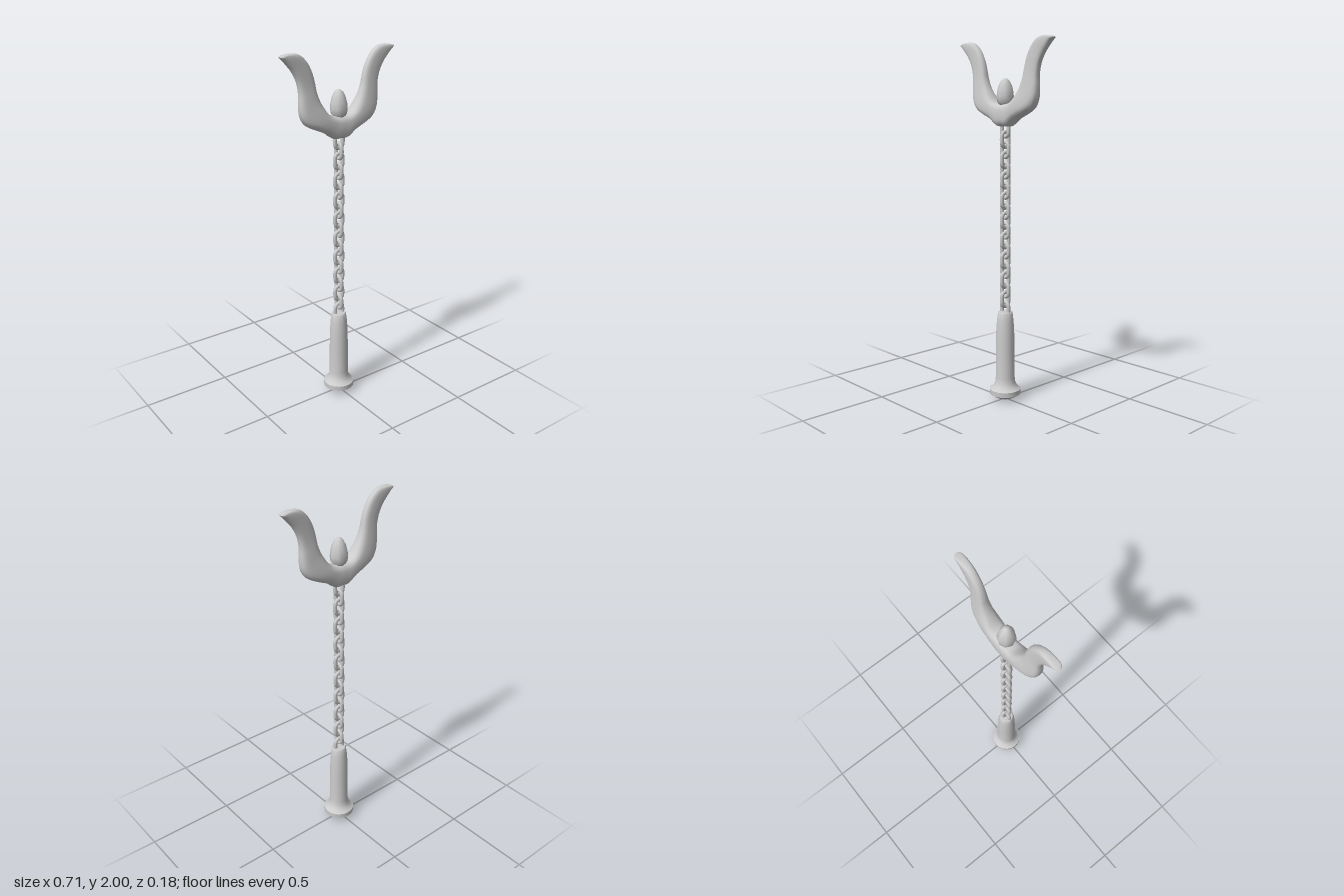
import * as THREE from 'three';
import { toCreasedNormals } from 'three/addons/utils/BufferGeometryUtils.js';

const material = new THREE.MeshStandardMaterial({ color: 0xcccccc });

function add(group, name, geometry) {
  const mesh = new THREE.Mesh(geometry, material);
  mesh.name = name;
  group.add(mesh);
  return mesh;
}

function lathe(points, sides) {
  return new THREE.LatheGeometry(points.map(([r, y]) => new THREE.Vector2(r, y)), sides);
}

// Stations of one fork arm, centre to tip: outer x, y, inner x, y, half depth
const ARM = [
  [0, 1.54, 0, 1.66, 0.05],
  [0.04, 1.54, 0.03, 1.661, 0.05],
  [0.09, 1.575, 0.06, 1.668, 0.051],
  [0.155, 1.603, 0.085, 1.688, 0.05],
  [0.208, 1.632, 0.108, 1.72, 0.045],
  [0.238, 1.68, 0.128, 1.755, 0.038],
  [0.245, 1.74, 0.145, 1.8, 0.032],
  [0.245, 1.8, 0.155, 1.85, 0.027],
  [0.258, 1.86, 0.17, 1.9, 0.025],
  [0.285, 1.91, 0.197, 1.95, 0.024],
  [0.31, 1.94, 0.24, 1.99, 0.024],
  [0.335, 1.968, 0.29, 2.0, 0.023],
  [0.35, 1.982, 0.335, 1.995, 0.019],
  [0.357, 1.988, 0.357, 1.988, 0],
];

// Fork: rounded-box sections swept from the left tip to the right tip
function forkGeometry() {
  const stations = [
    ...ARM.slice(1).reverse(),
    ...ARM.map(([ox, oy, ix, iy, d]) => [-ox, oy, -ix, iy, d]),
  ];
  const curve = (pick) => new THREE.CatmullRomCurve3(
    stations.map((s) => new THREE.Vector3(...pick(s))), false, 'catmullrom', 0.5);
  const outer = curve((s) => [s[0], s[1], s[4]]);
  const inner = curve((s) => [s[2], s[3], s[4]]);
  const rows = (stations.length - 1) * 3, sides = 20;
  const soft = (v) => Math.sign(v) * Math.abs(v) ** 0.7;
  const positions = [], index = [];
  for (let i = 0; i <= rows; i++) {
    const o = outer.getPoint(i / rows), n = inner.getPoint(i / rows);
    for (let j = 0; j < sides; j++) {
      const a = (j / sides) * Math.PI * 2;
      const k = (1 + soft(Math.cos(a))) / 2;
      positions.push(n.x + (o.x - n.x) * k, n.y + (o.y - n.y) * k, soft(Math.sin(a)) * Math.max(o.z, 0));
      if (i === rows) continue;
      const p = i * sides + j, q = i * sides + ((j + 1) % sides);
      index.push(p, q, p + sides, q, q + sides, p + sides);
    }
  }
  const geometry = new THREE.BufferGeometry();
  geometry.setAttribute('position', new THREE.Float32BufferAttribute(positions, 3));
  geometry.setIndex(index);
  geometry.computeVertexNormals();
  return geometry;
}

// Chain link: a tube around an oval with straight sides
function linkGeometry() {
  const path = new THREE.CurvePath();
  const r = 0.025, h = 0.016, points = [];
  for (let i = 0; i < 16; i++) {
    const a = ((i + 0.5) / 16) * Math.PI * 2;
    points.push(new THREE.Vector3(Math.cos(a) * r, Math.sin(a) * r + Math.sign(Math.sin(a)) * h, 0));
  }
  return new THREE.TubeGeometry(new THREE.CatmullRomCurve3(points, true), 32, 0.011, 8, true);
}

export function createModel() {
  const model = new THREE.Group();
  model.name = 'chainFork';

  // Grip with a flared pommel
  const grip = lathe([
    [0, 0.003], [0.035, 0.008], [0.06, 0.018], [0.087, 0.035], [0.088, 0.063],
    [0.08, 0.068], [0.066, 0.082], [0.057, 0.102], [0.054, 0.13], [0.053, 0.3],
    [0.051, 0.4], [0.047, 0.46], [0.041, 0.505], [0.037, 0.51], [0, 0.51],
  ], 20);
  add(model, 'handle', toCreasedNormals(grip, 0.6));

  // Chain: every other link turned a quarter
  const chain = new THREE.Group();
  chain.name = 'chain';
  const link = linkGeometry();
  for (let i = 0; i < 19; i++) {
    const mesh = add(chain, 'chainLink', link);
    mesh.position.y = 0.525 + i * 0.0555;
    mesh.rotation.y = (i % 2) * Math.PI / 2;
  }
  model.add(chain);

  // Two-horned head with an egg-shaped knob between the horns
  add(model, 'fork', forkGeometry());
  add(model, 'knob', lathe([
    [0, 1.65], [0.032, 1.653], [0.043, 1.67], [0.047, 1.695], [0.044, 1.725],
    [0.036, 1.757], [0.023, 1.782], [0.011, 1.793], [0, 1.796],
  ], 8));

  return model;
}
